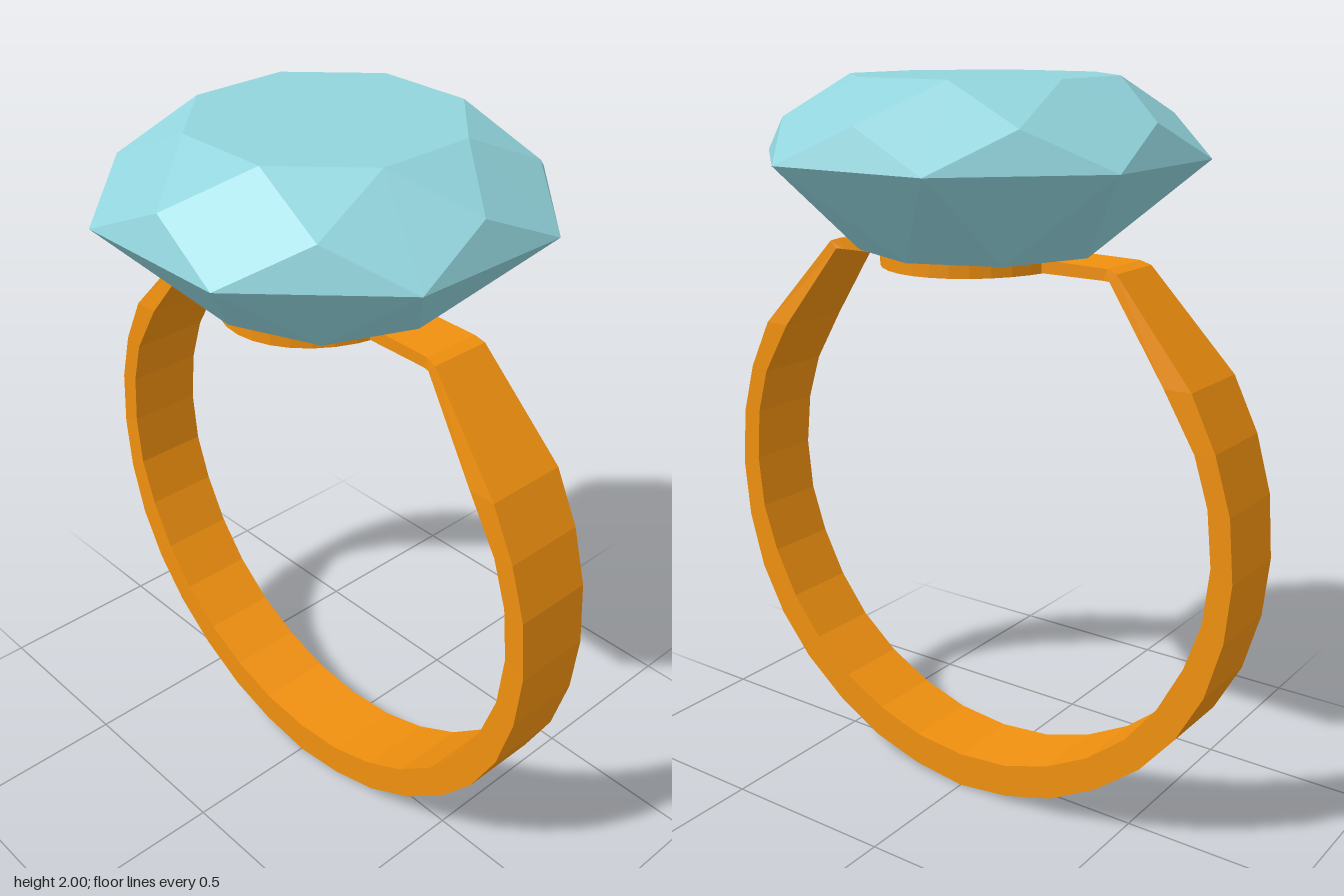
import * as THREE from 'three';
import { ConvexGeometry } from 'three/addons/geometries/ConvexGeometry.js';

const gold = new THREE.MeshStandardMaterial({ color: 0xf0900f, flatShading: true });
const blue = new THREE.MeshStandardMaterial({ color: 0x92d4dc, flatShading: true });

// Stations of half the band: outer x, outer y, inner x, inner y, half width
const half = [
  [0, 0, 0, 0.1, 0.11], [0.16, 0.02, 0.155, 0.115, 0.11],
  [0.31, 0.065, 0.295, 0.16, 0.11], [0.455, 0.145, 0.425, 0.23, 0.11],
  [0.585, 0.25, 0.54, 0.325, 0.11], [0.685, 0.37, 0.63, 0.44, 0.11],
  [0.76, 0.51, 0.7, 0.575, 0.11], [0.805, 0.67, 0.745, 0.71, 0.11],
  [0.82, 0.83, 0.76, 0.86, 0.11], [0.805, 1.0, 0.745, 1.01, 0.112],
  [0.76, 1.15, 0.705, 1.14, 0.115], [0.69, 1.29, 0.615, 1.29, 0.115],
  [0.46, 1.545, 0.44, 1.525, 0.086], [0.43, 1.555, 0.42, 1.525, 0.082],
  [0.2, 1.56, 0.2, 1.525, 0.08],
];

// Rectangular cross-sections joined into a closed loop
function bandGeometry() {
  const mirrored = half.slice(1).reverse().map(([a, b, c, d, w]) => [-a, b, -c, d, w]);
  const rings = [...half, ...mirrored].map(([ox, oy, ix, iy, w]) => [
    [ox, oy, w], [ox, oy, -w], [ix, iy, -w], [ix, iy, w],
  ]);
  const pos = [];
  rings.forEach((a, i) => {
    const b = rings[(i + 1) % rings.length];
    for (let j = 0; j < 4; j++) {
      const k = (j + 1) % 4;
      pos.push(...a[j], ...a[k], ...b[k], ...a[j], ...b[k], ...b[j]);
    }
  });
  const g = new THREE.BufferGeometry();
  g.setAttribute('position', new THREE.Float32BufferAttribute(pos, 3));
  g.computeVertexNormals();
  return g;
}

// Eight points on a circle; turn is in eighths of a circle
function octagon(radius, y, turn) {
  return Array.from({ length: 8 }, (_, i) => {
    const a = (i + turn) * Math.PI / 4;
    return new THREE.Vector3(radius * Math.cos(a), y, radius * Math.sin(a));
  });
}

export function createModel() {
  const ring = new THREE.Group();
  ring.name = 'ring';
  const add = (name, geometry, material) => {
    const mesh = new THREE.Mesh(geometry, material);
    mesh.name = name;
    ring.add(mesh);
    return mesh;
  };

  add('band', bandGeometry(), gold);

  // Oval plate that carries the stone
  const plate = add('settingPlate', new THREE.CylinderGeometry(1, 1, 0.036, 32), gold);
  plate.scale.set(0.25, 1, 0.298);
  plate.position.y = 1.542;

  // Cut stone: table, crown, girdle and truncated pavilion
  add('gemstone', new ConvexGeometry([
    ...octagon(0.354, 2, 0.5),
    ...octagon(0.51, 1.9, 0),
    ...octagon(0.59, 1.8, 0.5),
    ...octagon(0.325, 1.56, 0),
  ]), blue);

  return ring;
}
